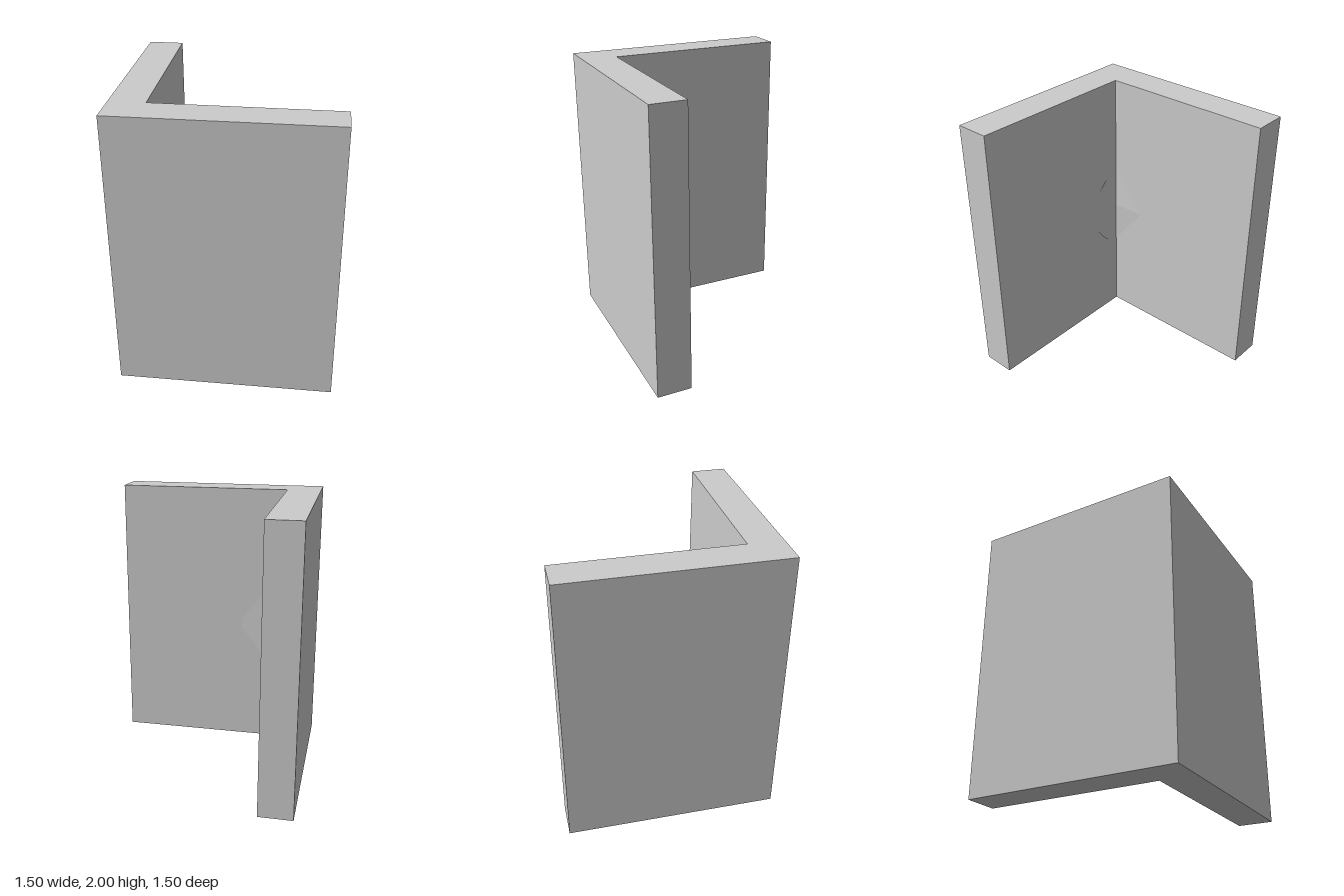
import * as THREE from 'three';
import { ConvexGeometry } from 'three/addons/geometries/ConvexGeometry.js';

export function createModel() {
  const group = new THREE.Group();
  const material = new THREE.MeshStandardMaterial({ color: 0xcccccc, flatShading: true });
  const add = (name, geometry) => {
    const mesh = new THREE.Mesh(geometry, material);
    mesh.name = name;
    group.add(mesh);
  };

  // L-shaped plan as [x, z], raised to full height
  const outer = 0.75, inner = 0.505, height = 2;
  const plan = [
    [-outer, outer], [outer, outer], [outer, inner],
    [-inner, inner], [-inner, -outer], [-outer, -outer],
  ];
  const shape = new THREE.Shape(plan.map(([x, z]) => new THREE.Vector2(x, -z)));
  const walls = new THREE.ExtrudeGeometry(shape, { depth: height, bevelEnabled: false });
  walls.rotateX(-Math.PI / 2);
  add('cornerWalls', walls);

  // Very shallow swellings either side of the inner corner
  const swelling = (points) => new ConvexGeometry(points.map((p) => new THREE.Vector3(...p)));
  add('sideWallSwelling', swelling([
    [-0.507, 0.57, 0.507], [-0.507, 1.32, 0.507], [-0.507, 0.95, 0.21], [-0.49, 0.95, 0.495],
  ]));
  add('frontWallSwelling', swelling([
    [-0.507, 0.57, 0.507], [-0.507, 1.32, 0.507], [-0.15, 0.95, 0.507],
    [-0.49, 0.95, 0.495], [-0.35, 0.7, 0.493], [-0.35, 1.2, 0.493],
  ]));

  return group;
}
